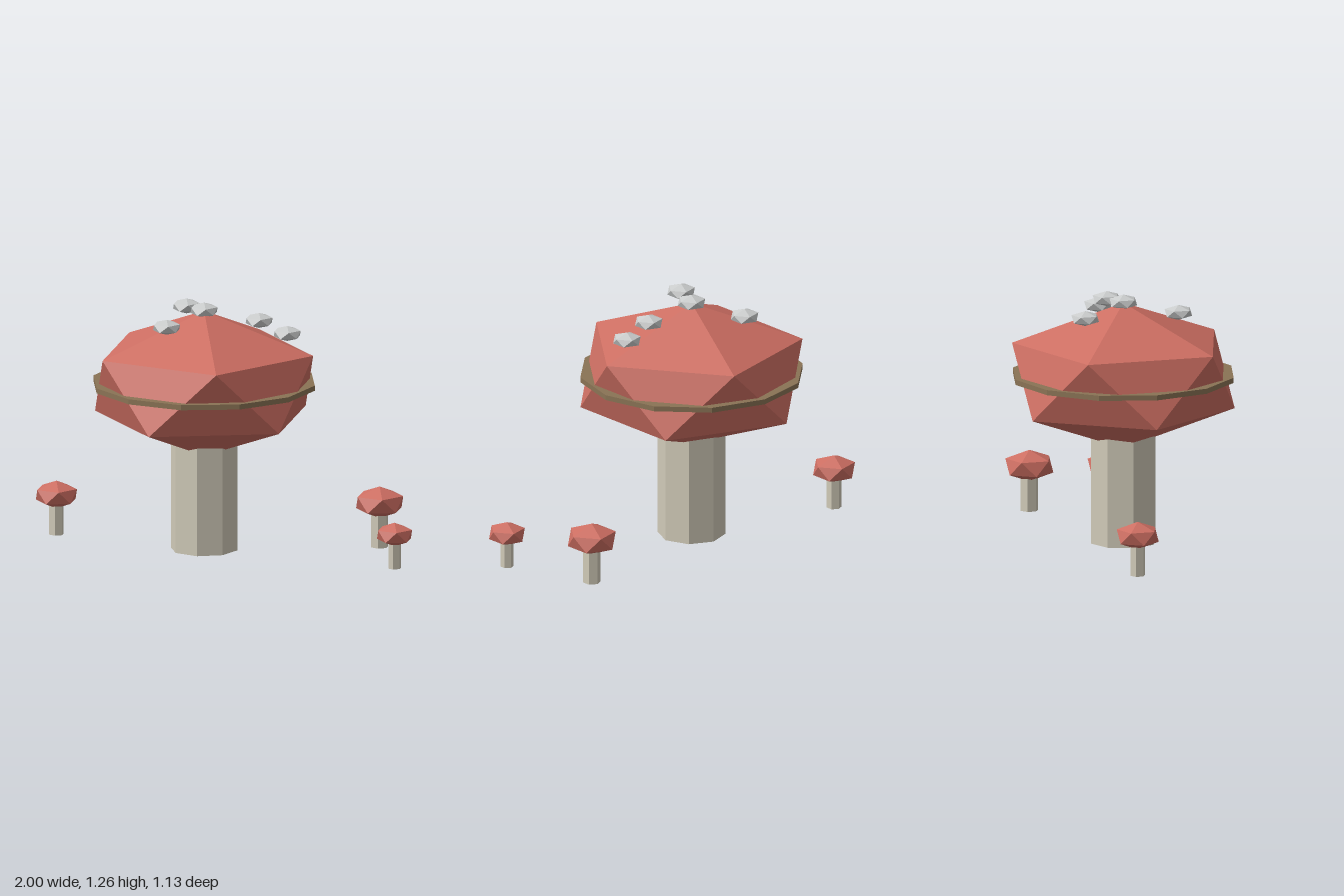
import * as THREE from 'three';

const mat = (name, color) => {
  const m = new THREE.MeshStandardMaterial({ color, flatShading: true });
  m.name = name;
  return m;
};

export function createModel() {
  const red = mat('cap red', 0xcd6e62);
  const cream = mat('stem cream', 0xd0cab8);
  const brown = mat('band brown', 0x8a7355);
  const grey = mat('stone grey', 0xcacccc);

  const model = new THREE.Group();
  model.name = 'mushroomCluster';

  // Icosahedron standing on a vertex, one upper ring corner towards +x
  const ico = new THREE.IcosahedronGeometry(1, 0);
  ico.rotateZ(-Math.atan(2 / (1 + Math.sqrt(5))));

  const add = (parent, name, geometry, material, x, y, z) => {
    const mesh = new THREE.Mesh(geometry, material);
    mesh.name = name;
    mesh.position.set(x, y, z);
    parent.add(mesh);
    return mesh;
  };

  // Stem on the ground with a flattened cap centred at capY
  const mushroom = (name, x, z, capRadius, capHalf, capY, stemRadius, sides, stemHeight) => {
    const g = new THREE.Group();
    g.name = name;
    g.position.set(x, 0, z);
    const stem = new THREE.CylinderGeometry(stemRadius, stemRadius, stemHeight, sides);
    add(g, 'stem', stem, cream, 0, stemHeight / 2, 0);
    add(g, 'cap', ico, red, 0, capY, 0).scale.set(capRadius, capHalf, capRadius);
    model.add(g);
    return g;
  };

  // Large mushroom with a band around its cap
  const big = mushroom('largeMushroom', -0.108, 0, 0.62, 0.37, 0.846, 0.169, 8, 0.62);
  add(big, 'capBand', new THREE.CylinderGeometry(0.563, 0.563, 0.026, 12), brown, 0, 0.847, 0);

  // Stones on the cap
  const stones = [[0, 1.22, 0], [0.28, 1.18, 0], [0.423, 1.12, 0], [-0.14, 1.18, 0.243], [-0.14, 1.18, -0.243]];
  for (const [x, y, z] of stones) {
    add(big, 'stone', ico, grey, x, y, z).scale.set(0.077, 0.038, 0.077);
  }

  // Small mushrooms around it
  mushroom('smallMushroomRight', -0.895, -0.172, 0.117, 0.07, 0.203, 0.038, 6, 0.2);
  mushroom('smallMushroomLeftBack', 0.738, -0.225, 0.134, 0.08, 0.228, 0.045, 6, 0.225);
  mushroom('smallMushroomLeftFront', 0.908, 0.226, 0.1, 0.06, 0.172, 0.033, 6, 0.17);

  return model;
}
